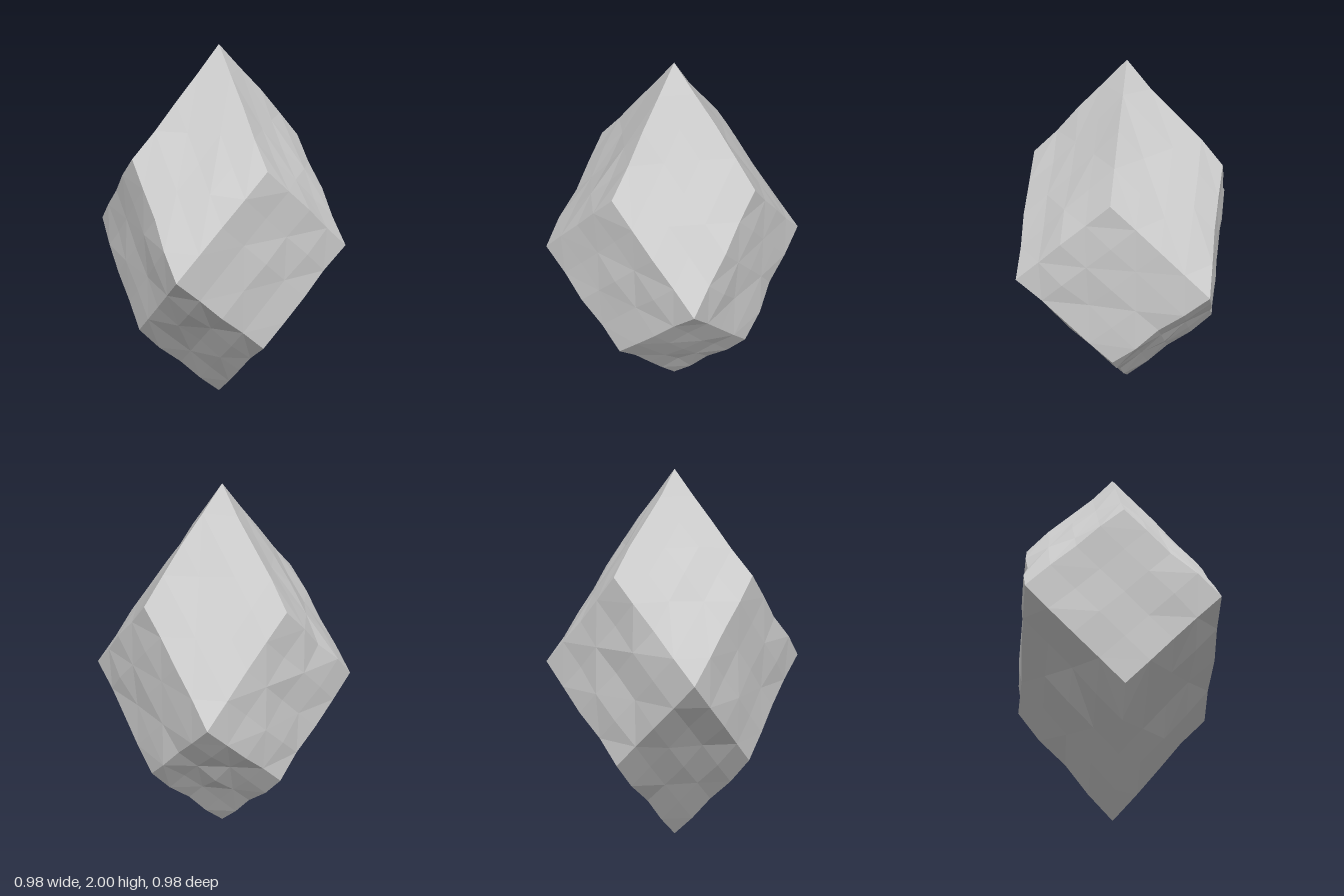
import * as THREE from 'three';

const R = 0.482;        // half width
const DIVISIONS = 4;    // grid cells along each rhombus edge
const ROUGHNESS = 0.012;

// Repeatable value in -1..1 from a position, so shared edges stay closed
function hash(p) {
  const [x, y, z] = [p.x, p.y, p.z].map((n) => Math.round(n * 1e4) | 0);
  const s = Math.sin(x * 0.0127 + y * 0.0311 + z * 0.0743 + 2.1) * 43758.5453;
  return (s - Math.floor(s)) * 2 - 1;
}

// Push a point slightly in or out from the core
function roughen(p) {
  const dir = new THREE.Vector3(p.x, (p.y - 1) * 0.5, p.z).normalize();
  return p.clone().addScaledVector(dir, hash(p) * ROUGHNESS);
}

// One rough rhombic facet, corners counter-clockwise from outside
function rhombus(a, b, c, d) {
  const n = DIVISIONS, positions = [], index = [];
  for (let j = 0; j <= n; j++) {
    for (let i = 0; i <= n; i++) {
      const near = a.clone().lerp(b, i / n);
      const far = d.clone().lerp(c, i / n);
      const p = near.lerp(far, j / n);
      const isCorner = i % n === 0 && j % n === 0;
      positions.push(...(isCorner ? p : roughen(p)).toArray());
    }
  }
  for (let j = 0; j < n; j++) {
    for (let i = 0; i < n; i++) {
      const k = j * (n + 1) + i, m = k + n + 1;
      if ((i + j) % 2) index.push(k, k + 1, m + 1, k, m + 1, m);
      else index.push(k, k + 1, m, k + 1, m + 1, m);
    }
  }
  const geometry = new THREE.BufferGeometry();
  geometry.setAttribute('position', new THREE.Float32BufferAttribute(positions, 3));
  geometry.setIndex(index);
  geometry.computeVertexNormals();
  return geometry;
}

export function createModel() {
  const group = new THREE.Group();
  group.name = 'crystal';
  const material = new THREE.MeshStandardMaterial({ color: 0xcccccc, flatShading: true });
  const add = (name, ...corners) => {
    const mesh = new THREE.Mesh(rhombus(...corners), material);
    mesh.name = name;
    group.add(mesh);
  };

  // Corner points: axis points sit at quarter turns, waist points between them
  const axis = (k, y) => {
    const t = (k * Math.PI) / 2;
    return new THREE.Vector3(Math.sin(t) * R, y, Math.cos(t) * R);
  };
  const waist = (k) => axis(k, 1.01).add(axis(k + 1, 0));
  const top = new THREE.Vector3(0, 2, 0);
  const bottom = new THREE.Vector3(0, 0, 0);
  const upper = (k) => axis(k, 1.48);
  const lower = (k) => axis(k, 0.53);

  // Twelve facets: four upper, four upright, four lower
  for (let k = 0; k < 4; k++) {
    add('upperFacet', top, upper(k), waist(k), upper(k + 1));
    add('sideFacet', upper(k), waist(k - 1), lower(k), waist(k));
    add('lowerFacet', bottom, lower(k + 1), waist(k), lower(k));
  }
  return group;
}
